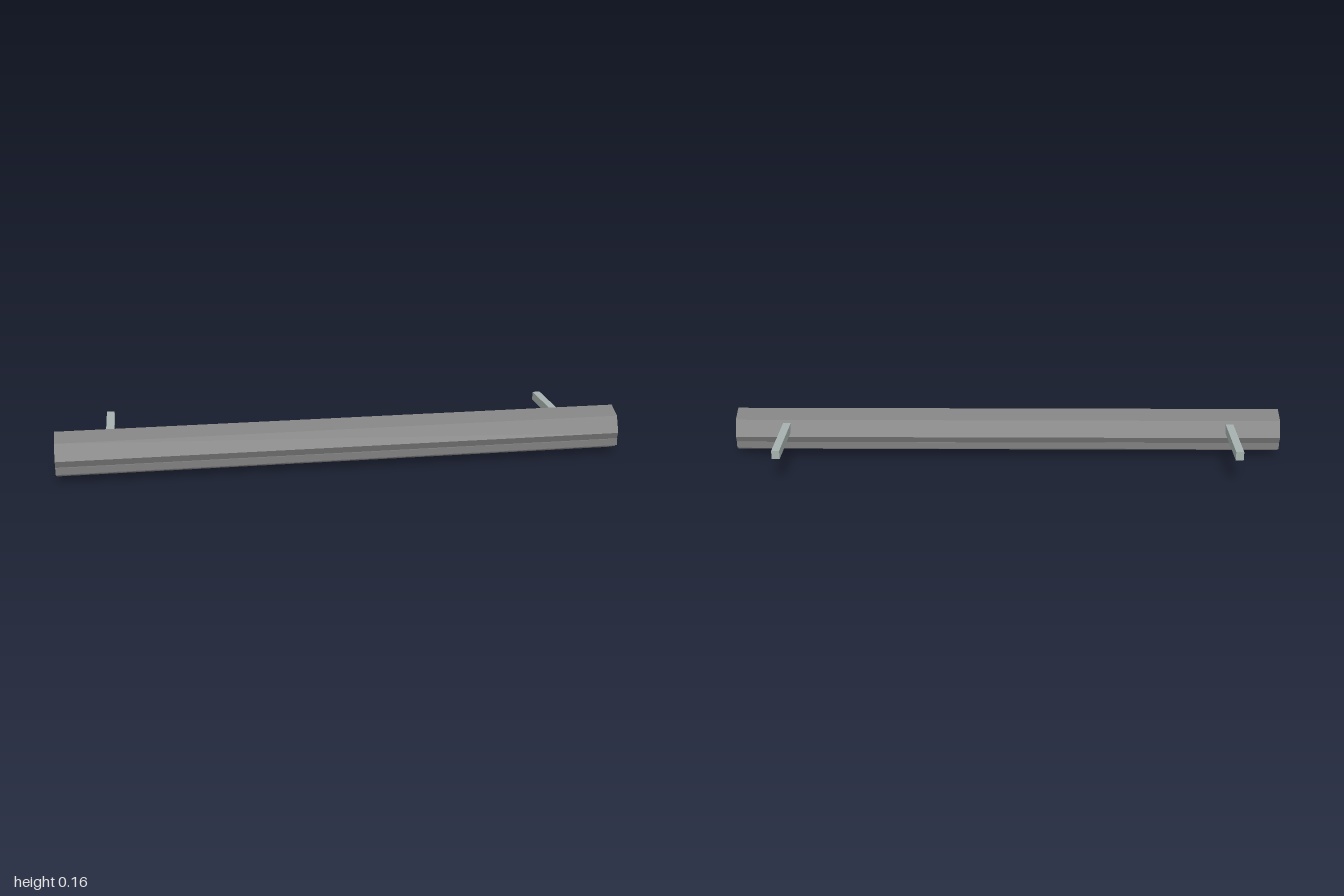
import * as THREE from 'three';

export function createModel() {
  const group = new THREE.Group();
  const darkGrey = new THREE.MeshStandardMaterial({ color: 0x808080, flatShading: true, side: THREE.DoubleSide });
  darkGrey.name = 'darkGrey';
  const paleSteel = new THREE.MeshStandardMaterial({ color: 0xa6b2af });
  paleSteel.name = 'paleSteel';

  const add = (name, geometry, material, x, y, z) => {
    const mesh = new THREE.Mesh(geometry, material);
    mesh.name = name;
    mesh.position.set(x, y, z);
    group.add(mesh);
  };

  // Thin octagonal tube, open at both ends, with a corner at the top
  const tube = new THREE.CylinderGeometry(0.082, 0.082, 2, 8, 1, true).rotateZ(Math.PI / 2);
  add('rollerTube', tube, darkGrey, 0, 0.082, 0.115);

  // Flat bar along the tube, its long edges just breaking through the walls
  add('bottomBar', new THREE.BoxGeometry(2, 0.024, 0.15), darkGrey, 0, 0.046, 0.117);

  // Wall brackets reaching back from inside the tube
  const bracket = new THREE.BoxGeometry(0.028, 0.031, 0.314);
  add('rightBracket', bracket, paleSteel, -0.814, 0.113, -0.04);
  add('leftBracket', bracket, paleSteel, 0.812, 0.113, -0.04);

  return group;
}
